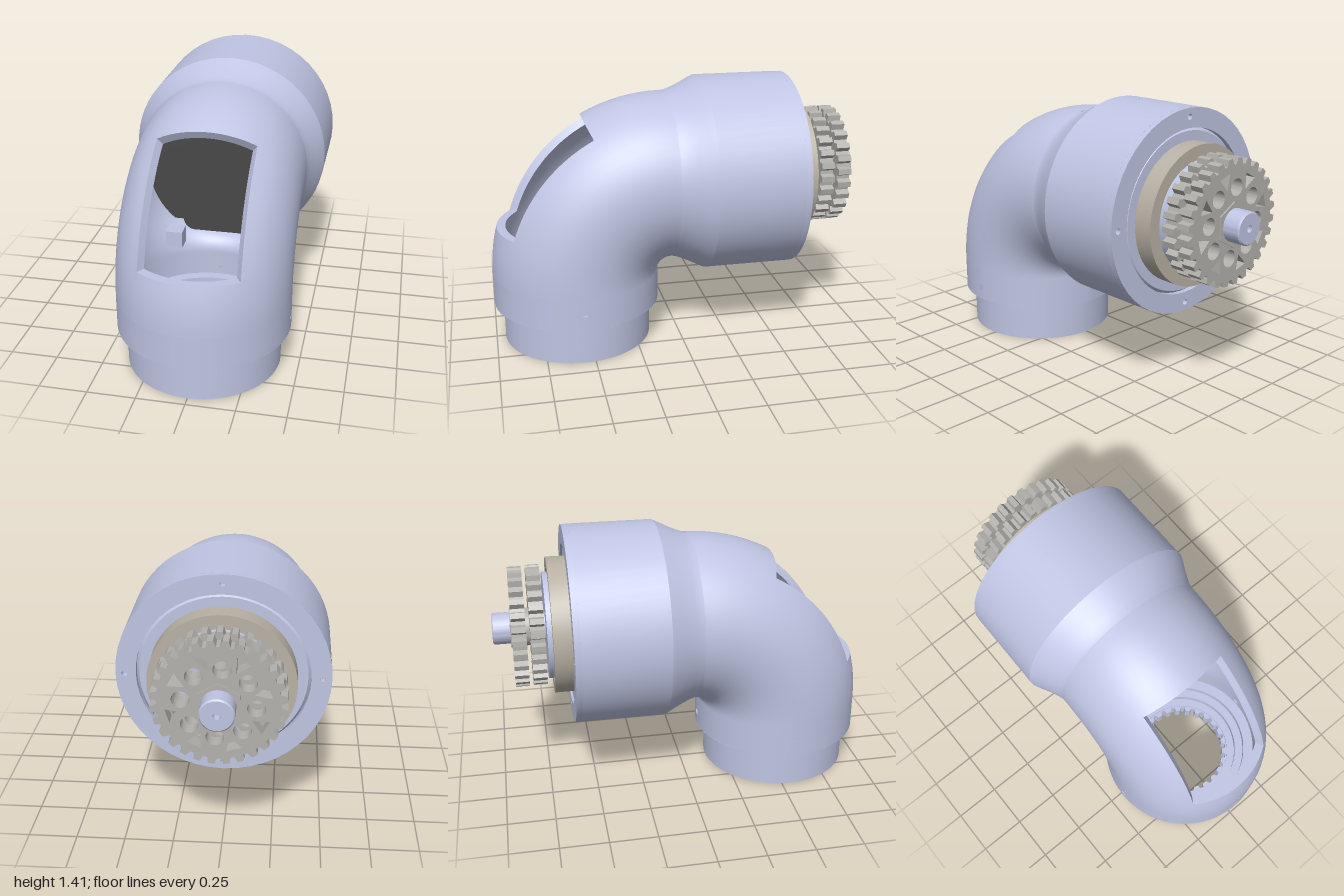
import * as THREE from 'three';
import { toCreasedNormals } from 'three/addons/utils/BufferGeometryUtils.js';

const AXIS_Y = 0.885, AXIS_Z = 0.55;            // barrel axis height, inlet axis depth
const BEND_Y = 0.385, BEND_Z = 0.05, BEND_R = 0.5;
const R_OUT = 0.45, R_IN = 0.405;
const WIN = Math.asin(0.25 / R_OUT), WIN_TOP = 1.083, HOLE = 0.033;

const material = (color) => new THREE.MeshStandardMaterial({ color, side: THREE.DoubleSide });
const shellMat = material(0xbfc5e3), beigeMat = material(0xb9b1a5);
const gearMat = material(0xb3b1ac), darkMat = material(0x484848);

// Subdivides the spans between break values
const spans = (breaks, counts) => {
  const out = [breaks[0]];
  counts.forEach((n, i) => {
    for (let k = 1; k <= n; k++) out.push(breaks[i] + (breaks[i + 1] - breaks[i]) * k / n);
  });
  return out;
};

// Grid surface, closed along its columns, with cells left out by a rule
function grid(rows, cols, point, skip = () => false) {
  const pos = [], index = [], n = cols.length;
  for (const r of rows) for (const c of cols) pos.push(...point(r, c));
  for (let i = 0; i < rows.length - 1; i++) {
    for (let j = 0; j < n; j++) {
      if (skip(i, j)) continue;
      const k = (j + 1) % n, a = i * n + j, b = i * n + k;
      index.push(a, b, b + n, a, b + n, a + n);
    }
  }
  const g = new THREE.BufferGeometry();
  g.setAttribute('position', new THREE.Float32BufferAttribute(pos, 3));
  g.setIndex(index);
  g.computeVertexNormals();
  return g;
}

// Point on the bend: t = 1 and t = 2 are the lower and upper window edges
function bendPoint(t, phi, r) {
  const reach = BEND_R + r * Math.max(Math.cos(phi), Math.cos(WIN));
  const low = Math.asin(0.26 / reach);
  const theta = t < 1 ? t * low
    : t < 2 ? low + (t - 1) * (WIN_TOP - low)
      : WIN_TOP + (t - 2) * (Math.PI / 2 - WIN_TOP);
  const rho = BEND_R + r * Math.cos(phi);
  return [r * Math.sin(phi), BEND_Y + rho * Math.sin(theta), BEND_Z + rho * Math.cos(theta)];
}

const lathe = (pts) => toCreasedNormals(
  new THREE.LatheGeometry(pts.map(([x, y]) => new THREE.Vector2(x, y)), 64), 0.45);
// Lathe along the barrel axis; heights run towards the back
const backLathe = (pts) => lathe(pts).rotateX(-Math.PI / 2).translate(0, AXIS_Y, 0);

const circle = (x, y, r) => new THREE.Path().absarc(x, y, r, 0, Math.PI * 2, true);
const disc = (r) => new THREE.Shape().absarc(0, 0, r, 0, Math.PI * 2, false);
const extrude = (shape, depth) => toCreasedNormals(
  new THREE.ExtrudeGeometry(shape, { depth, bevelEnabled: false, curveSegments: 24 }), 0.5);

// Toothed outline points with trapezoid teeth
function toothPoints(teeth, root, tip, turn = 0) {
  const pts = [];
  for (let i = 0; i < teeth; i++) {
    [[-0.36, root], [-0.2, tip], [0.2, tip], [0.36, root]].forEach(([f, r]) => {
      const a = (i + f + turn) * Math.PI * 2 / teeth;
      pts.push(new THREE.Vector2(r * Math.cos(a), r * Math.sin(a)));
    });
  }
  return pts;
}

function gear(turn) {
  const shape = new THREE.Shape(toothPoints(28, 0.288, 0.318, turn));
  for (let i = 0; i < 8; i++) {
    const a = i * Math.PI / 4 + turn * 0.2, b = a + Math.PI / 8;
    shape.holes.push(circle(0.175 * Math.cos(a), 0.175 * Math.sin(a), 0.043));
    const tri = [[0.175, 0], [0.25, 0.15], [0.25, -0.15]].map(([r, d]) =>
      new THREE.Vector2(r * Math.cos(b + d), r * Math.sin(b + d)));
    shape.holes.push(new THREE.Path(tri));
  }
  return extrude(shape, 0.072);
}

export function createModel() {
  const model = new THREE.Group();
  const add = (name, geometry, mat, x = 0, y = 0, z = 0) => {
    const mesh = new THREE.Mesh(geometry, mat);
    mesh.name = name;
    mesh.position.set(x, y, z);
    model.add(mesh);
    return mesh;
  };

  // Straight collar with four pin holes, then the bend with its window
  const q = Math.PI / 2;
  const collarCols = [];
  for (let k = 0; k < 4; k++) {
    collarCols.push(k * q - HOLE, ...spans([k * q + HOLE, (k + 1) * q - HOLE], [14]).slice(0, -1));
  }
  const collarRows = [0.21, 0.265, 0.295, BEND_Y];
  const bendRows = spans([0, 1, 2, 3], [6, 16, 8]);
  const bendCols = spans([-Math.PI, -WIN, WIN, Math.PI], [26, 14, 26]).slice(0, -1);
  for (const [label, r] of [['outer', R_OUT], ['inner', R_IN]]) {
    add(label + 'Collar', grid(collarRows, collarCols,
      (y, p) => [r * Math.sin(p), y, AXIS_Z + r * Math.cos(p)],
      (i, j) => i === 1 && j % 15 === 0), shellMat);
    add(label + 'Elbow', grid(bendRows, bendCols, (t, p) => bendPoint(t, p, r),
      (i, j) => i >= 6 && i < 22 && j >= 26 && j < 40), shellMat);
  }

  // Window rim closes the wall thickness
  const across = spans([-WIN, WIN], [14]), along = spans([1, 2], [16]);
  const loop = [
    ...across.map((p) => [1, p]), ...along.slice(1).map((t) => [t, WIN]),
    ...across.slice(0, -1).reverse().map((p) => [2, p]),
    ...along.slice(1, -1).reverse().map((t) => [t, -WIN]),
  ];
  add('windowRim', toCreasedNormals(
    grid([R_OUT, R_IN], loop, (r, [t, p]) => bendPoint(t, p, r)), 0.6), shellMat);

  // Inlet spigot with stepped bore and internal toothed ring
  add('inletSpigot', lathe([
    [0.45, 0.21], [0.4, 0.21], [0.4, 0], [0.3, 0], [0.3, 0.05], [0.262, 0.06], [0.262, 0.17],
    [0.305, 0.17], [0.305, 0.21], [0.35, 0.21], [0.35, 0.25], [0.405, 0.25],
  ]), shellMat, 0, 0, AXIS_Z);
  const ringShape = disc(0.264);
  ringShape.holes.push(new THREE.Path(toothPoints(26, 0.256, 0.236).reverse()));
  add('inletToothedRing', extrude(ringShape, 0.09).rotateX(-q), shellMat, 0, 0.07, AXIS_Z);

  // Flared barrel
  add('barrel', backLathe([
    [R_IN, -0.05], [R_OUT, -0.05], [0.453, -0.03], [0.463, 0], [0.485, 0.05], [0.508, 0.095],
    [0.525, 0.13], [0.525, 0.58], [R_IN, 0.58], [R_IN, -0.05],
  ]), shellMat);
  const flange = disc(0.525);
  flange.holes.push(circle(0, 0, 0.425));
  for (let k = 0; k < 4; k++) {
    flange.holes.push(circle(0.48 * Math.cos(k * q), 0.48 * Math.sin(k * q), 0.015));
  }
  add('barrelFlange', extrude(flange, 0.03), shellMat, 0, AXIS_Y, -0.61);
  add('barrelEndPlate', backLathe([[0, 0.58], [0.425, 0.58], [0.41, 0.6], [0, 0.6]]), shellMat);

  // Bulkhead inside the elbow, with its brackets
  const panel = new THREE.Shape();
  const dip = Math.asin(0.285 / 0.37);
  panel.absarc(0, 0, 0.37, -dip, Math.PI + dip, false);
  panel.lineTo(-0.19, -0.285);
  panel.quadraticCurveTo(-0.18, -0.34, -0.13, -0.345);
  panel.lineTo(0.13, -0.345);
  panel.quadraticCurveTo(0.18, -0.34, 0.19, -0.285);
  add('bulkhead', new THREE.ShapeGeometry(panel, 40), darkMat, 0, AXIS_Y, 0.2);
  for (const side of [-1, 1]) {
    add('bulkheadBracket', new THREE.BoxGeometry(0.09, 0.09, 0.09), shellMat, side * 0.23, 0.5, 0.22);
  }

  // Bearing ring, hub, gear pair and shaft
  add('bearingRing', backLathe([
    [0.36, 0.6], [0.36, 0.7], [0.3, 0.7], [0.3, 0.685], [0, 0.685],
  ]), beigeMat);
  add('gearHub', backLathe([[0.282, 0.685], [0.282, 0.725], [0, 0.725]]), shellMat);
  add('innerGear', gear(0), gearMat, 0, AXIS_Y + 0.006, -0.808);
  add('gearSpacer', backLathe([[0.1, 0.8], [0.1, 0.835]]), gearMat);
  add('outerGear', gear(0.5), gearMat, 0, AXIS_Y + 0.006, -0.9);
  const nut = toCreasedNormals(new THREE.CylinderGeometry(0.115, 0.115, 0.012, 6).rotateX(q), 0.5);
  add('shaftNut', nut, gearMat, 0, AXIS_Y, -0.902);
  add('shaft', backLathe([
    [0.083, 0.7], [0.083, 0.993], [0.076, 1], [0.018, 1], [0.018, 0.96], [0, 0.96],
  ]), shellMat);
  return model;
}
